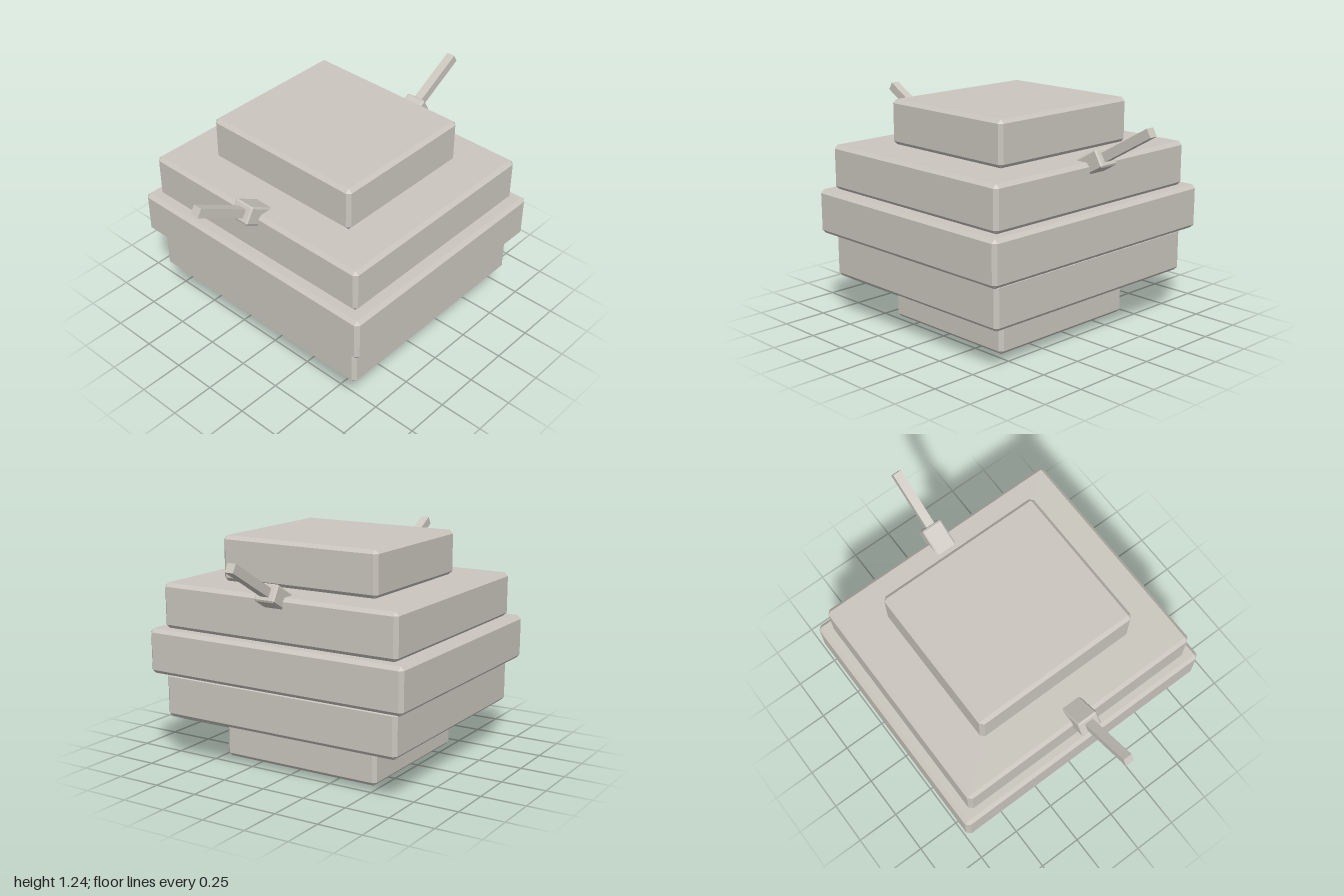
import * as THREE from 'three';
import { ConvexGeometry } from 'three/addons/geometries/ConvexGeometry.js';

// Box with flat chamfers on every edge
function chamferBox(w, h, d, c) {
  const points = [];
  for (const sx of [-1, 1]) for (const sy of [-1, 1]) for (const sz of [-1, 1]) {
    const x = w / 2, y = h / 2, z = d / 2;
    points.push(
      new THREE.Vector3(sx * x, sy * (y - c), sz * (z - c)),
      new THREE.Vector3(sx * (x - c), sy * y, sz * (z - c)),
      new THREE.Vector3(sx * (x - c), sy * (y - c), sz * z));
  }
  return new ConvexGeometry(points);
}

export function createModel() {
  const model = new THREE.Group();
  model.name = 'tieredBody';
  const stone = new THREE.MeshStandardMaterial({ color: 0xcac6be });
  stone.name = 'warm grey';

  // Five stacked slabs: name, width, depth
  const tierHeight = 0.248;
  [
    ['bottomTier', 0.85, 0.96],
    ['lowerTier', 1.28, 1.44],
    ['middleTier', 1.39, 1.566],
    ['upperTier', 1.28, 1.44],
    ['topTier', 0.85, 0.96],
  ].forEach(([name, w, d], i) => {
    const tier = new THREE.Mesh(chamferBox(w, tierHeight, d, 0.02), stone);
    tier.name = name;
    tier.position.y = (i + 0.5) * tierHeight;
    model.add(tier);
  });

  // Slanted arms: a chamfered socket sunk in the upper tier, with a square rod
  for (const side of [1, -1]) {
    const arm = new THREE.Group();
    arm.name = side > 0 ? 'leftArm' : 'rightArm';
    arm.position.set(side * 0.7, 1.026, 0);
    arm.rotation.z = side * Math.PI / 6;

    const socket = new THREE.Mesh(chamferBox(0.2, 0.1, 0.12, 0.008), stone);
    socket.name = 'armSocket';
    socket.position.x = side * -0.1;

    const rod = new THREE.Mesh(new THREE.BoxGeometry(0.38, 0.05, 0.05), stone);
    rod.name = 'armRod';
    rod.position.x = side * 0.142;

    arm.add(socket, rod);
    model.add(arm);
  }
  return model;
}
